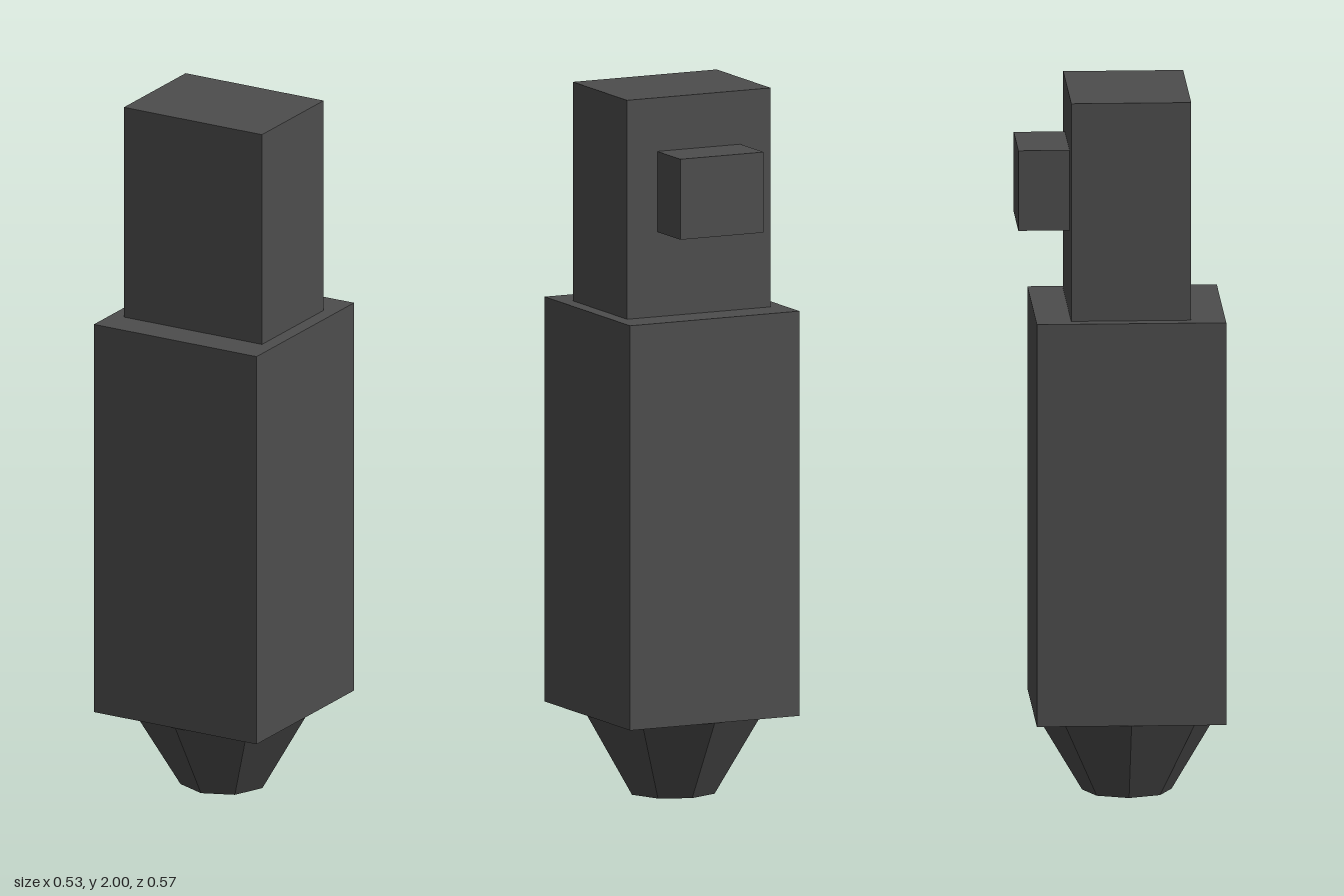
import * as THREE from 'three';

export function createModel() {
  const model = new THREE.Group();
  const material = new THREE.MeshStandardMaterial({ color: 0x4d4d4d, flatShading: true });

  const add = (name, geometry, y, z) => {
    const mesh = new THREE.Mesh(geometry, material);
    mesh.name = name;
    mesh.position.set(0, y, z);
    model.add(mesh);
  };

  // Box given by its width and its y and z ranges, centred on x = 0
  const addBox = (name, width, y0, y1, z0, z1) =>
    add(name, new THREE.BoxGeometry(width, y1 - y0, z1 - z0), (y0 + y1) / 2, (z0 + z1) / 2);

  // Square main body, narrower block above it and a lug on the back
  addBox('mainBody', 0.529, 0.234, 1.38, -0.243, 0.286);
  addBox('upperBlock', 0.449, 1.38, 2, -0.145, 0.19);
  addBox('rearLug', 0.26, 1.62, 1.848, -0.288, -0.145);

  // Eight-sided tapered tip, corners on the axes
  add('taperedTip', new THREE.CylinderGeometry(0.2645, 0.125, 0.234, 8), 0.117, 0.0215);

  return model;
}
